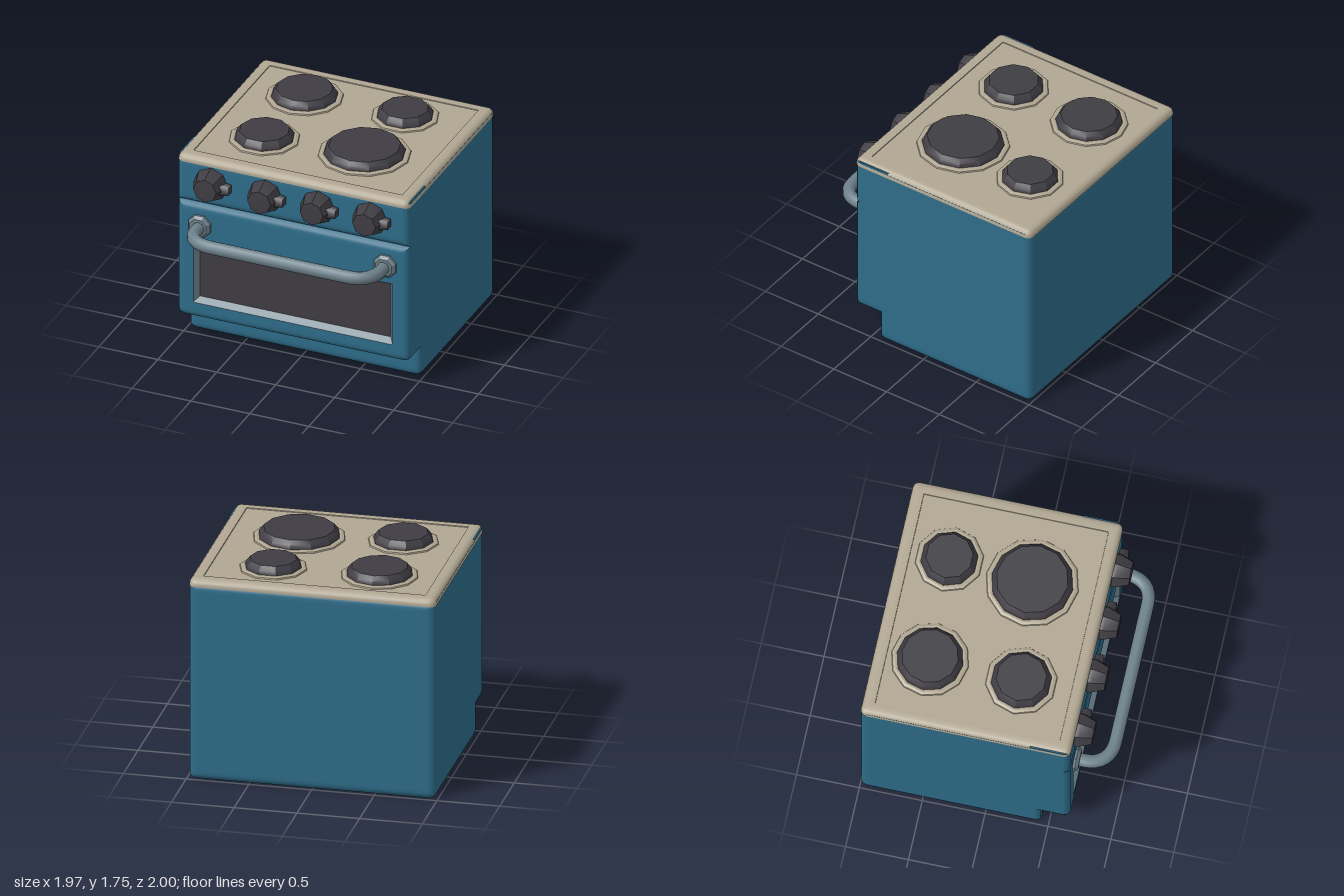
import * as THREE from 'three';
import { toCreasedNormals } from 'three/addons/utils/BufferGeometryUtils.js';

const mat = (name, color) => {
  const m = new THREE.MeshStandardMaterial({ color });
  m.name = name;
  return m;
};

// Rectangle outline, counter-clockwise, with its own radius for bottom and top corners
function outline({ cx = 0, cy, w, h, z, rt = 0, rb = 0 }) {
  const pts = [];
  const lead = Math.min(0.03, w / 4, h / 4);
  [[1, -1], [1, 1], [-1, 1], [-1, -1]].forEach(([sx, sy], k) => {
    const r = sy > 0 ? rt : rb;
    const ox = cx + sx * (w - r), oy = cy + sy * (h - r);
    const a0 = (k - 1) * Math.PI / 2;
    const at = (a, along) => [
      ox + r * Math.cos(a) + along * Math.sin(a),
      oy + r * Math.sin(a) - along * Math.cos(a), z];
    pts.push(at(a0, lead));
    for (let i = 0; i <= 3; i++) pts.push(at(a0 + i * Math.PI / 6, 0));
    pts.push(at(a0 + Math.PI / 2, -lead));
  });
  return pts;
}

// Skin a list of outlines, walking from back to front
function loft(rings, crease = 0.6) {
  const pos = [], loops = rings.map(outline);
  for (let j = 0; j + 1 < loops.length; j++) {
    const a = loops[j], b = loops[j + 1], n = a.length;
    for (let i = 0; i < n; i++) {
      const k = (i + 1) % n;
      pos.push(...a[i], ...a[k], ...b[k], ...a[i], ...b[k], ...b[i]);
    }
  }
  const g = new THREE.BufferGeometry();
  g.setAttribute('position', new THREE.Float32BufferAttribute(pos, 3));
  return toCreasedNormals(g, crease);
}

const inset = (b, d, z) => ({
  ...b, w: b.w - d, h: b.h - d, z,
  rt: Math.max(0, b.rt - d), rb: Math.max(0, b.rb - d),
});

// Rounded edge ending at z, with support rings that keep the flats flat
function frontEdge(b, z, r = 0.05) {
  const rings = [inset(b, 0, z - r - 0.03)];
  for (let i = 0; i <= 3; i++) {
    const a = i * Math.PI / 6;
    rings.push(inset(b, r * (1 - Math.cos(a)), z - r + r * Math.sin(a)));
  }
  rings.push(inset(b, r + 0.03, z));
  return rings;
}
const backEdge = (b, z, r) =>
  frontEdge(b, -z, r).map(q => ({ ...q, z: -q.z })).reverse();
const point = (b, z) => ({ ...b, w: 0, h: 0, rt: 0, rb: 0, z });

export function createModel() {
  const blue = mat('blue enamel', 0x2e6d8a);
  const cream = mat('cream top', 0xb0a692);
  const dark = mat('dark iron', 0x3f3d43);
  const steel = mat('grey steel', 0x6c808a);

  const model = new THREE.Group();
  model.name = 'stove';
  const add = (name, geo, material, x = 0, y = 0, z = 0, parent = model) => {
    const m = new THREE.Mesh(geo, material);
    m.name = name;
    m.position.set(x, y, z);
    parent.add(m);
    return m;
  };

  // Main cabinet
  const base = { cy: 0.82, w: 0.982, h: 0.82, rt: 0, rb: 0.05 };
  add('cabinet', loft([point(base, -0.997), ...backEdge(base, -0.997),
    ...frontEdge(base, 0.44), point(base, 0.44)]), blue);

  // Control panel, with a groove between it and the door
  const panel = { cy: 1.458, w: 0.982, h: 0.198, rt: 0, rb: 0 };
  add('controlPanel', loft([{ ...panel, z: 0.35 }, ...frontEdge(panel, 0.667),
    point(panel, 0.667)]), blue);

  // Oven door with a window opening
  const door = { cy: 0.75, w: 0.982, h: 0.51, rt: 0, rb: 0.05 };
  const opening = { cy: 0.645, w: 0.845, h: 0.27, z: 0.667 };
  const glass = { cy: 0.65, w: 0.81, h: 0.235, z: 0.62 };
  add('ovenDoor', loft([{ ...door, z: 0.35 }, ...frontEdge(door, 0.667), opening]), blue);
  add('windowFrame', loft([opening, glass], 0.1), steel);
  add('windowGlass', new THREE.PlaneGeometry(1.62, 0.47), dark, 0, 0.65, 0.62);

  // Drawer grip under the door
  const grip = new THREE.Shape([[-0.6, 0.25], [-0.56, 0.177], [0.56, 0.177], [0.6, 0.25]]
    .map(p => new THREE.Vector2(...p)));
  add('drawerGrip', new THREE.ExtrudeGeometry(grip, {
    depth: 0.05, bevelThickness: 0.02, bevelSize: 0.015, bevelOffset: -0.015, bevelSegments: 2,
  }), blue, 0, 0, 0.43);

  // Cooktop slab with a shallow sunken middle
  const top = { cy: 0.165, w: 0.985, h: 0.835, rt: 0.05, rb: 0.05 };
  const slab = loft([point(top, 1.61), { ...top, z: 1.61 },
    ...frontEdge(top, 1.67, 0.045).slice(1),
    inset(top, 0.1, 1.67), inset(top, 0.102, 1.664), point(top, 1.664)]);
  slab.rotateX(-Math.PI / 2);
  add('cooktop', slab, cream);

  // Burners: x, z, plate radius, number of sides
  const lathe = (pts, sides) => toCreasedNormals(
    new THREE.LatheGeometry(pts.map(p => new THREE.Vector2(...p)), sides), 0.45);
  [[-0.44, -0.56, 0.262, 12], [0.4, -0.59, 0.225, 10],
    [-0.46, 0.17, 0.238, 10], [0.35, 0.08, 0.322, 12]].forEach(([x, z, r, n]) => {
    const burner = new THREE.Group();
    burner.name = 'burner';
    burner.position.set(x, 1.66, z);
    if (n === 10) burner.rotation.y = Math.PI / 10;
    model.add(burner);
    add('burnerRing', lathe([[r + 0.046, 0], [r + 0.04, 0.014],
      [r + 0.018, 0.022], [r - 0.02, 0.018]], n), cream, 0, 0, 0, burner);
    add('burnerPlate', lathe([[r, 0], [r, 0.025], [r - 0.012, 0.05],
      [r - 0.04, 0.085], [0, 0.085]], n), dark, 0, 0, 0, burner);
  });

  // Knobs with a pointer on one side
  const knobGeo = lathe([[0.138, 0], [0.14, 0.03], [0.098, 0.135], [0, 0.14]], 8);
  knobGeo.rotateX(Math.PI / 2);
  const pointerGeo = new THREE.CylinderGeometry(0.046, 0.062, 0.11, 4, 1);
  pointerGeo.rotateY(Math.PI / 4).rotateZ(-Math.PI / 2);
  for (const x of [-0.69, -0.23, 0.215, 0.66]) {
    add('knob', knobGeo, dark, x, 1.465, 0.665);
    add('knobPointer', pointerGeo, dark, x + 0.12, 1.465, 0.71);
  }

  // Door handle: bent bar on two mounts
  const v = (x, z) => new THREE.Vector3(x, 1.065, z);
  const path = new THREE.CurvePath();
  path.add(new THREE.LineCurve3(v(-0.785, 0.66), v(-0.785, 0.77)));
  path.add(new THREE.QuadraticBezierCurve3(v(-0.785, 0.77), v(-0.765, 0.935), v(-0.59, 0.947)));
  path.add(new THREE.LineCurve3(v(-0.59, 0.947), v(0.59, 0.947)));
  path.add(new THREE.QuadraticBezierCurve3(v(0.59, 0.947), v(0.765, 0.935), v(0.785, 0.77)));
  path.add(new THREE.LineCurve3(v(0.785, 0.77), v(0.785, 0.66)));
  add('doorHandle', new THREE.TubeGeometry(path, 48, 0.053, 10), steel);
  const mountGeo = lathe([[0.1, 0], [0.1, 0.02], [0.075, 0.045], [0, 0.045]], 8);
  mountGeo.rotateX(Math.PI / 2).rotateZ(Math.PI / 8);
  for (const s of [-1, 1]) add('handleMount', mountGeo, steel, s * 0.787, 1.07, 0.665);

  return model;
}
